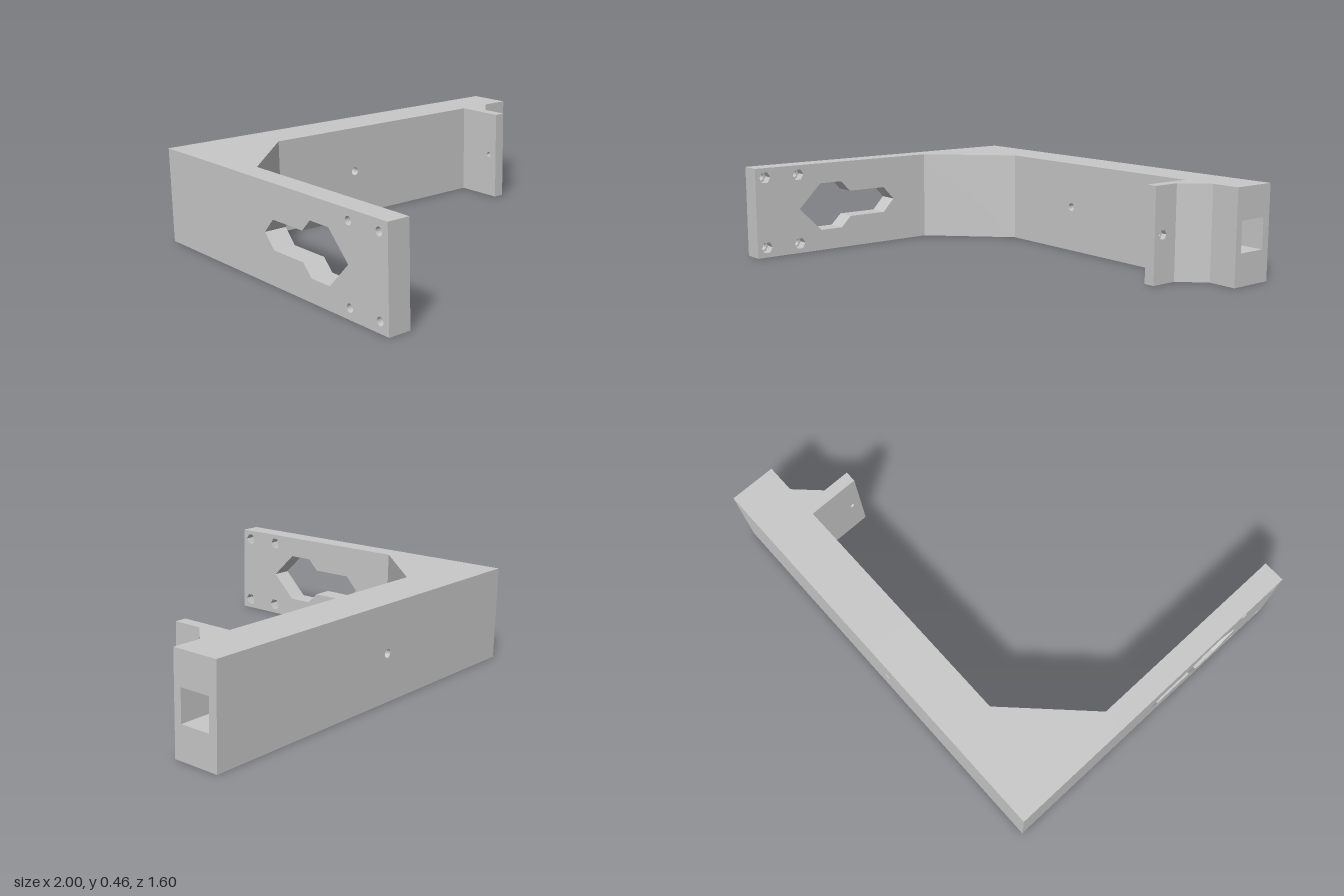
import * as THREE from 'three';

const H = 0.455, MID = 0.228;
const BACK = -0.8, FRONT = -0.575; // beam depth

// Turns [a, b] pairs into points; z values are negated to suit the rotations below,
// and zy lists are reversed so mirrored outlines stay counter-clockwise
const zy = (pts) => pts.map(([z, y]) => new THREE.Vector2(-z, y)).reverse();
const xz = (pts) => pts.map(([x, z]) => new THREE.Vector2(x, -z));
const xy = (pts) => pts.map(([x, y]) => new THREE.Vector2(x, y));
const rect = (a0, b0, a1, b1) => [[a0, b0], [a1, b0], [a1, b1], [a0, b1]];

// Regular polygon: 6 sides for nut recesses, 24 for bores
const ring = (a, b, r, sides) => Array.from({ length: sides }, (_, i) => {
  const t = (i / sides) * Math.PI * 2;
  return [a + r * Math.cos(t), b + r * Math.sin(t)];
});

function extrude(outline, holes, depth) {
  const shape = new THREE.Shape(outline);
  shape.holes = holes.map((h) => new THREE.Path(h));
  return new THREE.ExtrudeGeometry(shape, { depth, bevelEnabled: false });
}
const alongX = (outline, holes, x0, x1) =>
  extrude(zy(outline), holes.map(zy), x1 - x0).rotateY(Math.PI / 2).translate(x0, 0, 0);
const alongY = (outline) => extrude(xz(outline), [], H).rotateX(-Math.PI / 2);
const alongZ = (outline, holes, z0, z1) =>
  extrude(xy(outline), holes.map(xy), z1 - z0).translate(0, 0, z0);

export function createModel() {
  const model = new THREE.Group();
  model.name = 'bracket';
  const grey = new THREE.MeshStandardMaterial({ color: 0xc8c8c8 });
  grey.name = 'grey plastic';
  const add = (name, geometry) => {
    const mesh = new THREE.Mesh(geometry, grey);
    mesh.name = name;
    model.add(mesh);
  };

  // Back beam: drilled half, then the half with a square socket in its end
  add('drilledBeam', alongZ(rect(-0.54, 0, 0, H), [ring(-0.079, MID, 0.02, 24)], BACK, FRONT));
  add('socketBeam', alongX(rect(BACK, 0, FRONT, H), [rect(-0.76, 0.154, -0.611, 0.303)], 0, 1));

  // Corner with its diagonal gusset
  add('cornerGusset', alongY([[-1, BACK], [-0.538, BACK], [-0.538, FRONT], [-0.895, -0.217], [-1, -0.217]]));

  // Side arm: outer layer has round bores, inner layer has hexagonal nut recesses
  const keyhole = [
    [0.558, MID], [0.435, 0.351], [0.313, 0.351], [0.258, 0.296], [0.05, 0.296],
    [-0.013, MID], [0.05, 0.161], [0.258, 0.161], [0.313, 0.106], [0.435, 0.106],
  ];
  const bolts = [0.748, 0.562].flatMap((z) => [0.05, 0.406].map((y) => [z, y]));
  const arm = rect(-0.217, 0, 0.8, H);
  add('armOuterLayer', alongX(arm, [keyhole, ...bolts.map(([z, y]) => ring(z, y, 0.019, 24))], -1, -0.945));
  add('armInnerLayer', alongX(arm, [keyhole, ...bolts.map(([z, y]) => ring(z, y, 0.03, 6))], -0.945, -0.895));

  // Tab with a nut recess, braced against the beam
  const tab = rect(-0.46, 0, -0.325, H);
  add('tabInnerLayer', alongX(tab, [ring(-0.377, MID, 0.013, 24)], 0.69, 0.718));
  add('tabOuterLayer', alongX(tab, [ring(-0.377, MID, 0.024, 6)], 0.718, 0.745));
  add('tabBrace', alongY([[0.69, FRONT], [0.858, FRONT], [0.745, -0.46], [0.69, -0.46]]));

  return model;
}
